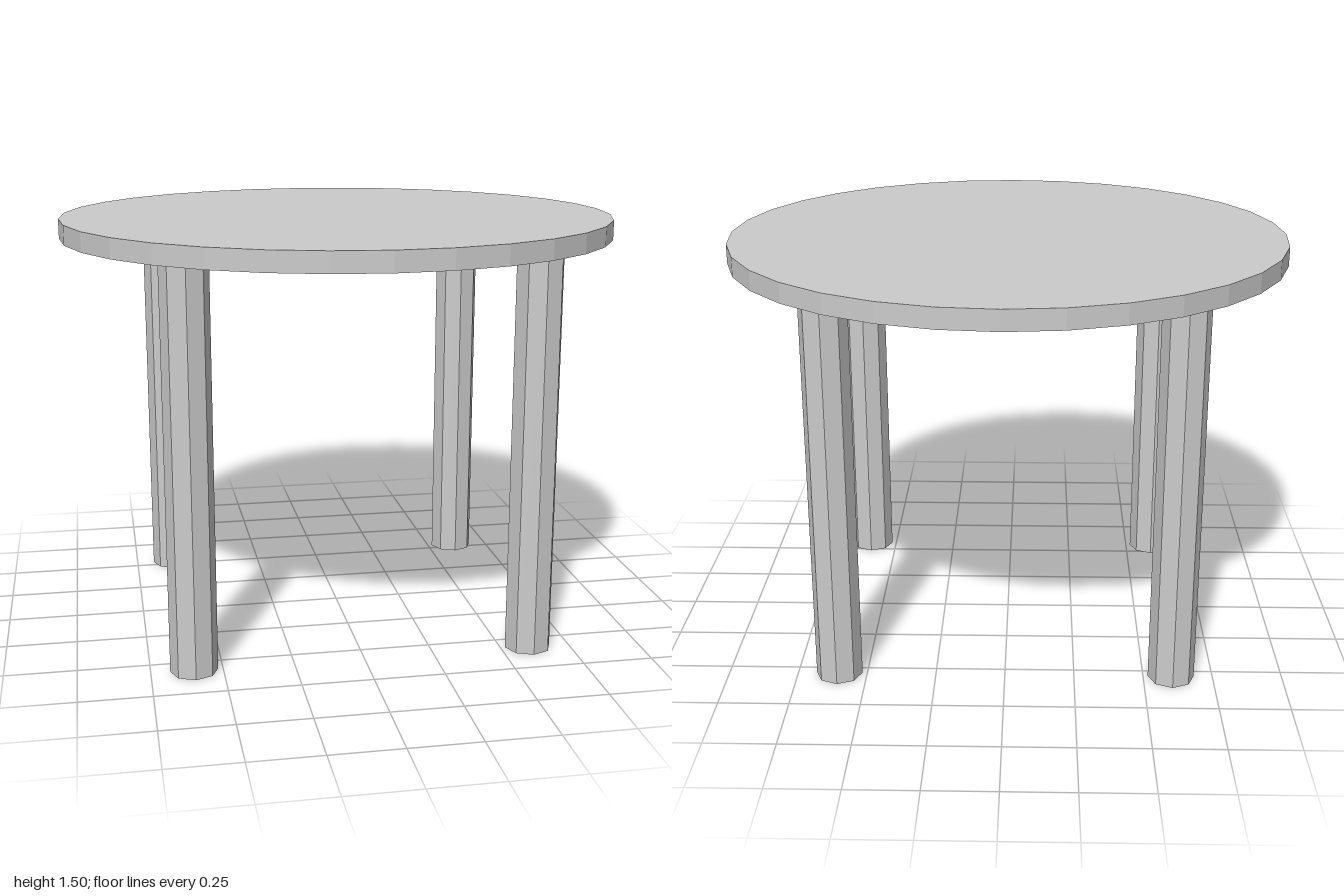
import * as THREE from 'three';

export function createModel() {
  const group = new THREE.Group();
  const material = new THREE.MeshStandardMaterial({ color: 0xcccccc, flatShading: true });
  const topY = 1.505, thickness = 0.07;
  const legHeight = topY - thickness;

  // Round slab with a faceted rim
  const top = new THREE.Mesh(new THREE.CylinderGeometry(1, 1, thickness, 32), material);
  top.name = 'tableTop';
  top.position.y = topY - thickness / 2;
  group.add(top);

  // Four octagonal legs, set slightly forward of centre
  const legGeometry = new THREE.CylinderGeometry(0.083, 0.083, legHeight, 8);
  for (const [end, z] of [['front', 0.567], ['back', -0.533]]) {
    for (const [side, x] of [['Left', 0.6], ['Right', -0.6]]) {
      const leg = new THREE.Mesh(legGeometry, material);
      leg.name = `${end}${side}Leg`;
      leg.position.set(x, legHeight / 2, z);
      group.add(leg);
    }
  }
  return group;
}
